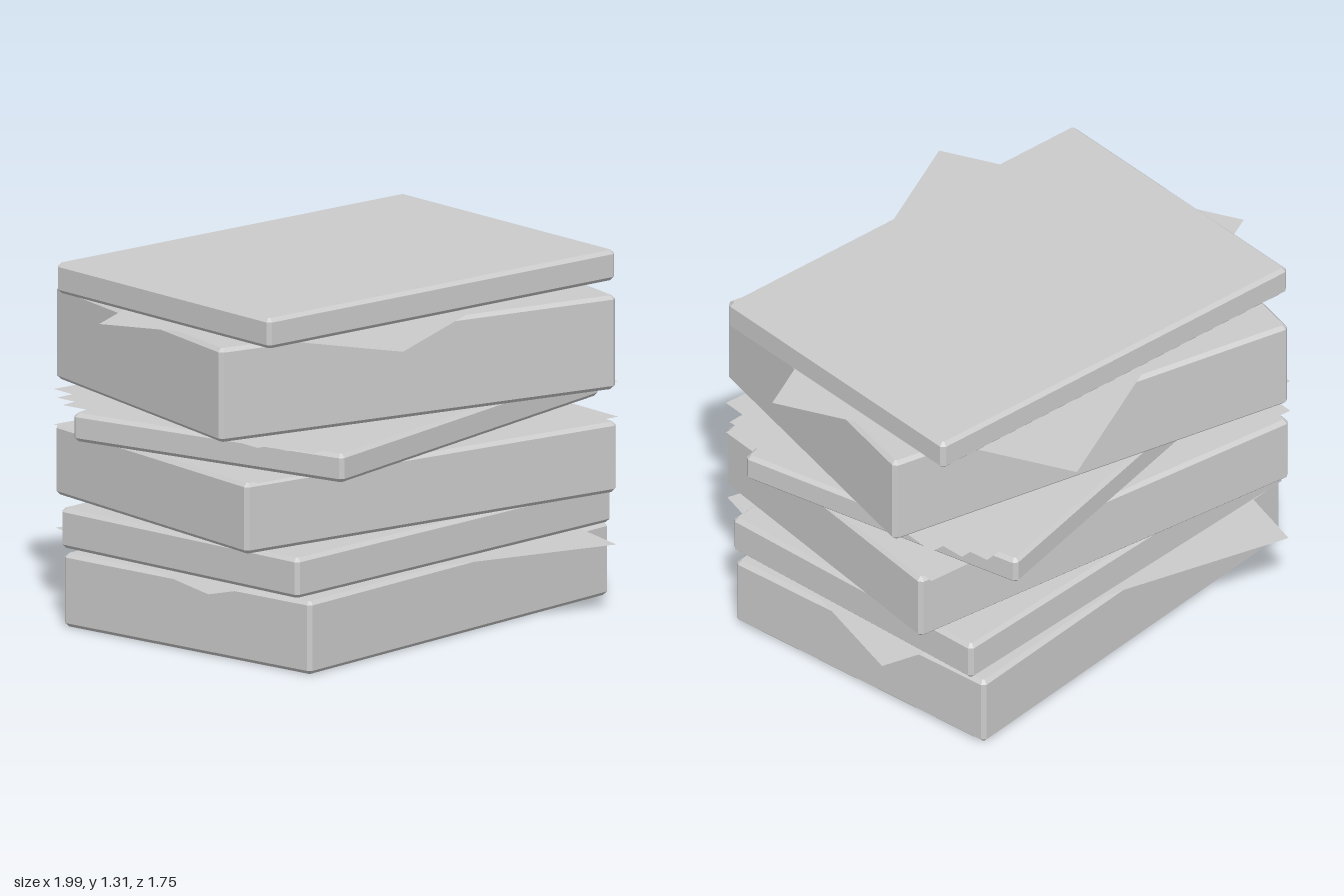
import * as THREE from 'three';

const WIDTH = 1.655, DEPTH = 1.173, CHAMFER = 0.014;
const material = new THREE.MeshStandardMaterial({ color: 0xcccccc, flatShading: true });
const sheetMaterial = new THREE.MeshStandardMaterial({ color: 0xcccccc, side: THREE.DoubleSide });

// Rectangular block with every edge chamfered, standing on y = 0
function chamferedBlock(height) {
  const x = WIDTH / 2 - CHAMFER, z = DEPTH / 2 - CHAMFER, c = 0.006;
  const outline = new THREE.Shape([
    [x, -z + c], [x, z - c], [x - c, z], [-x + c, z],
    [-x, z - c], [-x, -z + c], [-x + c, -z], [x - c, -z],
  ].map(([a, b]) => new THREE.Vector2(a, b)));
  const geometry = new THREE.ExtrudeGeometry(outline, {
    depth: height - 2 * CHAMFER,
    bevelEnabled: true,
    bevelSegments: 1,
    bevelSize: CHAMFER,
    bevelThickness: CHAMFER,
  });
  return geometry.translate(0, 0, CHAMFER).rotateX(-Math.PI / 2);
}

export function createModel() {
  const group = new THREE.Group();
  group.name = 'paperStack';

  const add = (name, geometry, mat, y, turn) => {
    const mesh = new THREE.Mesh(geometry, mat);
    mesh.name = name;
    mesh.position.y = y;
    mesh.rotation.y = turn;
    group.add(mesh);
  };

  // Thick bundles: bottom, top, turn about the vertical
  [
    [0, 0.27, 0.088],
    [0.28, 0.428, 0.042],
    [0.434, 0.695, -0.143],
    [0.71, 0.815, 0.202],
    [0.838, 1.185, -0.242],
    [1.198, 1.31, -0.06],
  ].forEach(([bottom, top, turn], i) =>
    add(`bundle${i + 1}`, chamferedBlock(top - bottom), material, bottom, turn));

  // Loose sheets between the bundles: height, turn
  const sheet = new THREE.PlaneGeometry(1.66, 1.175).rotateX(-Math.PI / 2);
  [
    [0.275, -0.288],
    [0.702, -0.1],
    [0.821, 0.1],
    [0.827, 0.01],
    [0.833, -0.1],
    [1.191, 0.42],
  ].forEach(([y, turn], i) => add(`looseSheet${i + 1}`, sheet, sheetMaterial, y, turn));

  return group;
}
